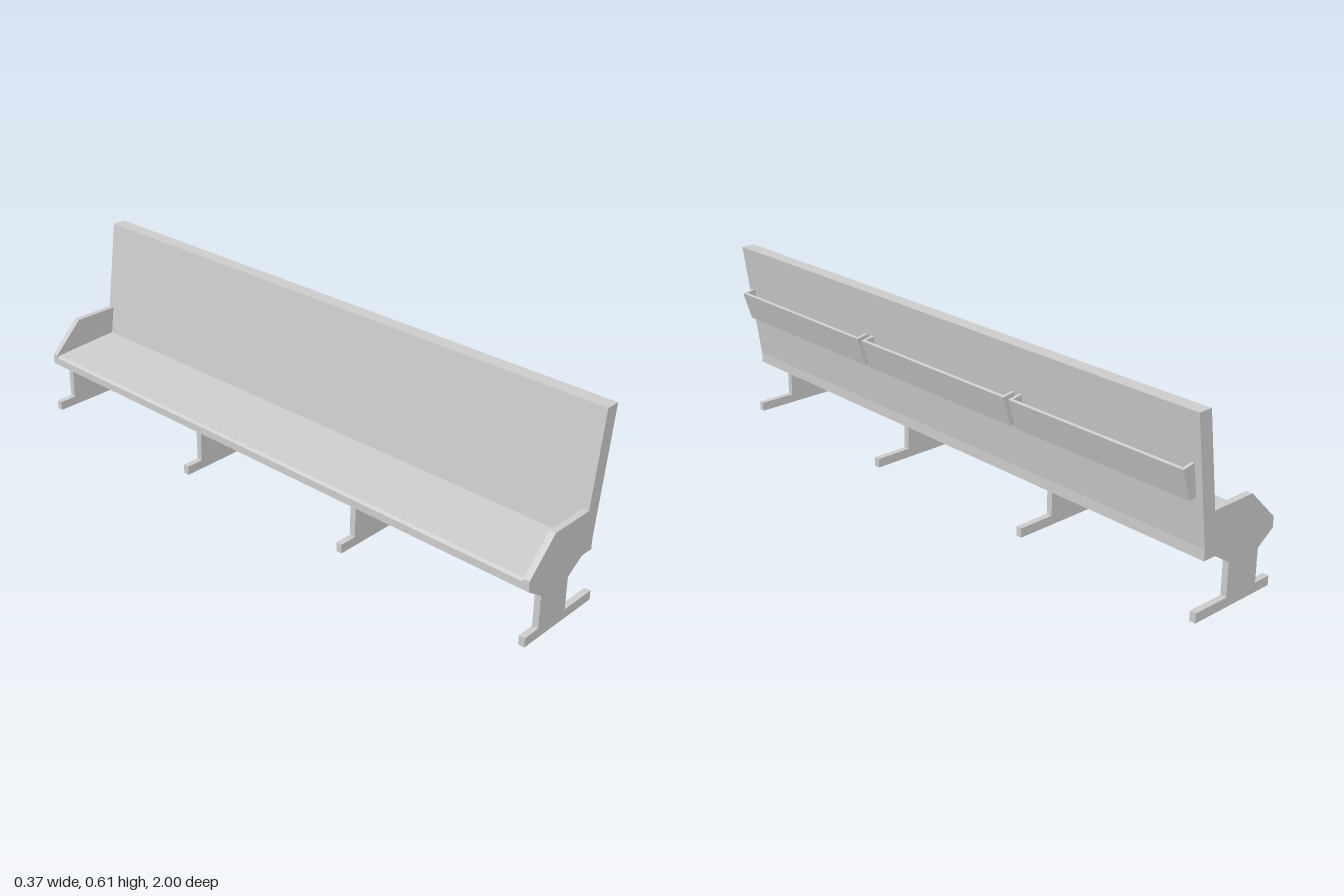
import * as THREE from 'three';

const material = new THREE.MeshStandardMaterial({ color: 0xcccccc, flatShading: true });

// Extrude a side profile (x, y) along z, centred on zMid
function slab(name, points, length, zMid = 0) {
  const shape = new THREE.Shape(points.map(([x, y]) => new THREE.Vector2(x, y)));
  const geometry = new THREE.ExtrudeGeometry(shape, { depth: length, bevelEnabled: false });
  geometry.translate(0, 0, zMid - length / 2);
  const mesh = new THREE.Mesh(geometry, material);
  mesh.name = name;
  return mesh;
}

// Foot bar, column and flared head in one outline
const legProfile = [
  [-0.182, 0], [0.125, 0], [0.125, 0.03], [0, 0.03], [0, 0.136], [0.06, 0.176],
  [-0.183, 0.176], [-0.123, 0.136], [-0.123, 0.03], [-0.182, 0.03],
];
const endPanelProfile = [
  [-0.183, 0.176], [0.06, 0.176], [0.06, 0.22], [0.074, 0.311], [-0.08, 0.311], [-0.183, 0.21],
];
const seatProfile = [
  [-0.183, 0.176], [0.06, 0.176], [0.06, 0.22], [-0.174, 0.207], [-0.183, 0.2],
];
const backProfile = [
  [0.06, 0.176], [0.105, 0.176], [0.105, 0.21], [0.16, 0.605], [0.114, 0.605], [0.06, 0.22],
];
// Book rack: end cheek, and an L of floor and sloping board
const cheekProfile = [[0.126, 0.358], [0.152, 0.355], [0.182, 0.45], [0.14, 0.457]];
const trayProfile = [
  [0.126, 0.358], [0.152, 0.355], [0.182, 0.45], [0.172, 0.452], [0.145, 0.366], [0.127, 0.368],
];

function bookRack(length, zMid) {
  const rack = new THREE.Group();
  rack.name = 'bookRack';
  const t = 0.01;
  rack.add(slab('rackTray', trayProfile, length - 2 * t, zMid));
  for (const side of [-1, 1]) {
    rack.add(slab('rackEnd', cheekProfile, t, zMid + side * (length - t) / 2));
  }
  return rack;
}

export function createModel() {
  const bench = new THREE.Group();
  bench.name = 'bench';

  // Seat and backrest
  bench.add(slab('seat', seatProfile, 1.96));
  bench.add(slab('backrest', backProfile, 2));

  // Four legs, with raised panels closing both ends
  for (const z of [-0.99, -0.333, 0.333, 0.99]) bench.add(slab('leg', legProfile, 0.02, z));
  for (const z of [-0.99, 0.99]) bench.add(slab('endPanel', endPanelProfile, 0.02, z));

  // Row of three racks behind the backrest
  for (const [length, z] of [[0.635, -0.66], [0.645, 0], [0.635, 0.66]]) {
    bench.add(bookRack(length, z));
  }
  return bench;
}
